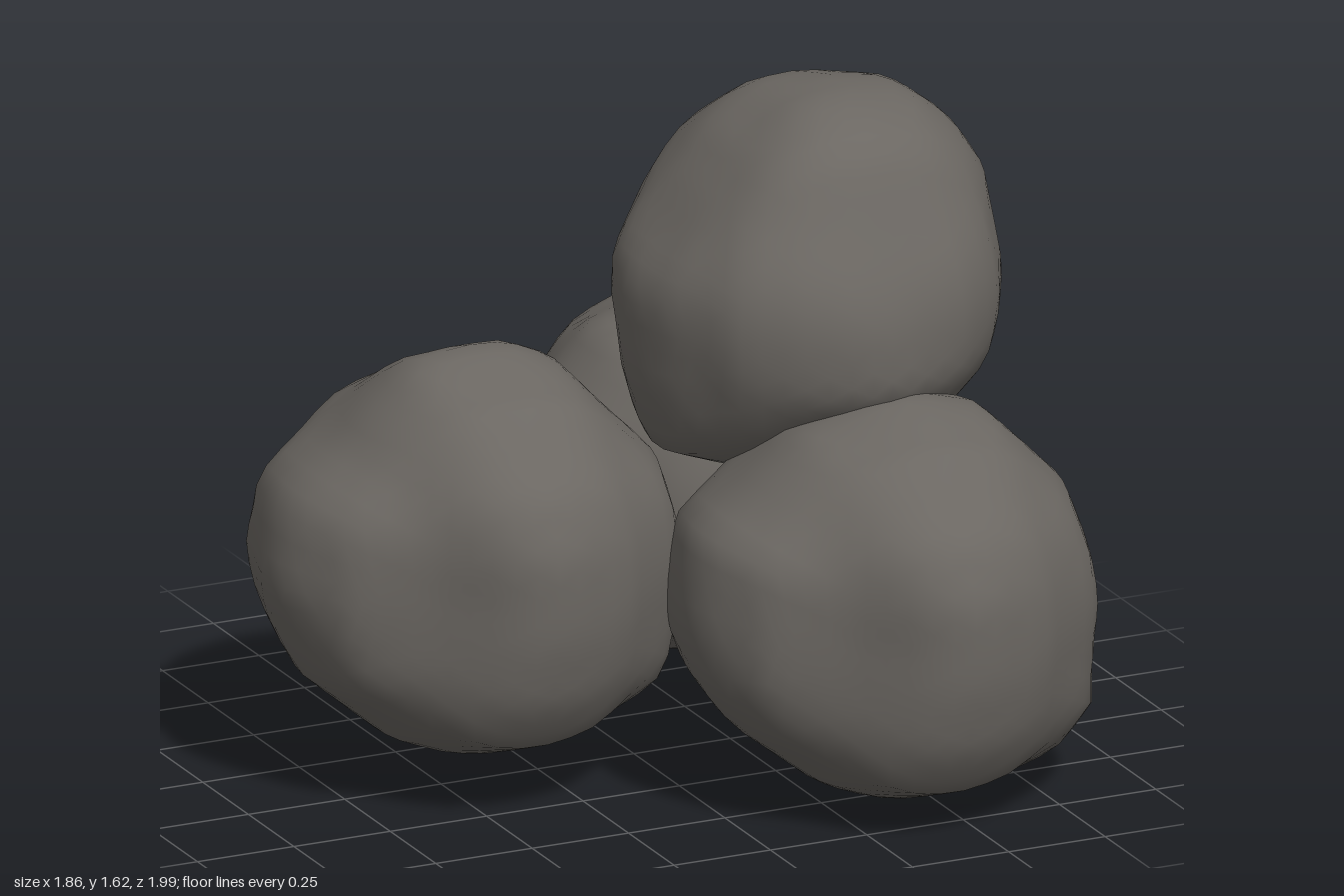
import * as THREE from 'three';
import { mergeVertices } from 'three/addons/utils/BufferGeometryUtils.js';

// Distance from the origin to a closed outline, along direction (du, dv)
function reach(outline, du, dv) {
  let best = 0;
  outline.forEach(([pu, pv], i) => {
    const [qu, qv] = outline[(i + 1) % outline.length];
    const eu = qu - pu, ev = qv - pv, den = du * ev - dv * eu;
    if (Math.abs(den) < 1e-9) return;
    const t = (pu * ev - pv * eu) / den, s = (pu * dv - pv * du) / den;
    if (t > best && s >= -1e-6 && s <= 1 + 1e-6) best = t;
  });
  return best;
}

// Outline moved so that the given centre becomes its origin
const around = (cu, cv, points) => points.map(([u, v]) => [u - cu, v - cv]);

// Boulder: a sphere whose radius blends three cross-sections (xy, zy, xz)
function boulderGeometry({ front, side, top }) {
  let geo = new THREE.IcosahedronGeometry(1, 9);
  geo.deleteAttribute('normal');
  geo.deleteAttribute('uv');
  geo = mergeVertices(geo, 1e-4);
  const pos = geo.attributes.position, d = new THREE.Vector3();
  for (let i = 0; i < pos.count; i++) {
    d.fromBufferAttribute(pos, i).normalize();
    let sum = 0, total = 0;
    for (const [outline, u, v, n] of [[front, d.x, d.y, d.z], [side, d.z, d.y, d.x], [top, d.x, d.z, d.y]]) {
      const len = Math.hypot(u, v);
      if (len < 1e-4) continue;
      const w = (len * len) / (n * n + 0.03);
      sum += w * reach(outline, u / len, v / len);
      total += w;
    }
    d.multiplyScalar(sum / total);
    pos.setXYZ(i, d.x, d.y, d.z);
  }
  geo.computeVertexNormals();
  return geo;
}

// Ridged boulder, used for the front and left stones
const ridged = {
  front: around(0.42, 0.5, [
    [0.47, 1.0], [0.65, 0.95], [0.84, 0.76], [0.93, 0.52], [0.92, 0.19], [0.8, 0.08], [0.65, 0.03], [0.47, 0.005],
    [0.37, 0.03], [0.22, 0.08], [0.03, 0.23], [-0.06, 0.36], [-0.1, 0.52], [-0.07, 0.72], [0.03, 0.78], [0.2, 0.93]]),
  side: around(0.5, 0.5, [
    [1.0, 0.62], [0.94, 0.76], [0.77, 0.93], [0.5, 1.0], [0.33, 0.92], [0.14, 0.84], [0.02, 0.69], [-0.02, 0.47],
    [0.0, 0.32], [0.17, 0.17], [0.25, 0.14], [0.45, 0.005], [0.61, 0.03], [0.87, 0.125], [0.95, 0.25], [0.99, 0.41]]),
  top: around(0.42, 0.5, [
    [0.44, 1.0], [0.63, 0.94], [0.84, 0.77], [0.93, 0.52], [0.9, 0.37], [0.82, 0.2], [0.71, 0.07], [0.56, 0.0],
    [0.3, -0.02], [0.15, 0.04], [-0.03, 0.22], [-0.09, 0.45], [-0.09, 0.55], [0.0, 0.72], [0.18, 0.83], [0.33, 0.96]]),
};

// Left stone: same body with a slightly turned front section
const turned = {
  ...ridged,
  front: around(-0.41, 0.57, [
    [-0.42, 1.09], [-0.32, 1.08], [-0.2, 1.02], [-0.09, 0.9], [0.03, 0.78], [0.09, 0.58], [0.08, 0.3], [0.03, 0.21],
    [-0.2, 0.1], [-0.36, 0.07], [-0.51, 0.1], [-0.64, 0.15], [-0.84, 0.32], [-0.935, 0.57], [-0.89, 0.77],
    [-0.74, 0.87], [-0.68, 0.94], [-0.56, 1.06]]),
};

// Rear stone
const rear = {
  front: around(0.42, 0.49, [
    [0.87, 0.55], [0.8, 0.78], [0.62, 0.92], [0.4, 0.95], [0.15, 0.88], [0.0, 0.7], [-0.04, 0.47], [0.02, 0.25],
    [0.15, 0.1], [0.4, 0.04], [0.65, 0.07], [0.8, 0.22]]),
  side: around(-0.51, 0.49, [
    [-0.42, 0.95], [-0.26, 0.92], [-0.1, 0.76], [-0.03, 0.6], [-0.02, 0.47], [-0.06, 0.32], [-0.2, 0.17], [-0.44, 0.1],
    [-0.61, 0.02], [-0.76, 0.035], [-0.9, 0.15], [-0.96, 0.3], [-1.0, 0.41], [-0.98, 0.62], [-0.93, 0.76],
    [-0.84, 0.84], [-0.61, 0.91]]),
  top: around(0.42, -0.51, [
    [0.35, -0.99], [0.46, -1.0], [0.59, -1.0], [0.73, -0.93], [0.835, -0.81], [0.87, -0.65], [0.83, -0.4],
    [0.77, -0.23], [0.62, -0.08], [0.42, -0.02], [0.18, -0.1], [-0.02, -0.32], [-0.045, -0.42], [-0.035, -0.57],
    [0.03, -0.66], [0.09, -0.8], [0.2, -0.91]]),
};

// Stone resting on top
const upper = {
  front: around(0.42, 1.16, [
    [0.48, 1.64], [0.655, 1.61], [0.77, 1.52], [0.84, 1.42], [0.865, 1.26], [0.845, 1.09], [0.795, 0.94], [0.72, 0.85],
    [0.45, 0.69], [0.22, 0.72], [0.02, 0.79], [-0.035, 0.965], [-0.04, 1.14], [-0.02, 1.23], [0.04, 1.3],
    [0.12, 1.42], [0.21, 1.52], [0.35, 1.61]]),
  side: around(0.06, 1.16, [
    [0.16, 1.64], [-0.11, 1.61], [-0.31, 1.48], [-0.4, 1.33], [-0.4, 1.19], [-0.33, 1.07], [-0.285, 0.92],
    [-0.18, 0.78], [0.0, 0.69], [0.17, 0.72], [0.37, 0.82], [0.54, 1.0], [0.54, 1.14], [0.49, 1.28], [0.37, 1.54],
    [0.3, 1.6]]),
  top: around(0.42, 0.06, [
    [0.33, -0.42], [0.52, -0.38], [0.68, -0.29], [0.8, -0.16], [0.865, 0.08], [0.84, 0.25], [0.76, 0.4], [0.64, 0.49],
    [0.44, 0.53], [0.33, 0.54], [0.19, 0.49], [0.07, 0.4], [-0.02, 0.21], [-0.045, 0.05], [0.0, -0.13],
    [0.11, -0.27]]),
};

export function createModel() {
  const group = new THREE.Group();
  group.name = 'boulderPile';
  const stone = new THREE.MeshStandardMaterial({ color: 0x6b6762 });
  stone.name = 'warm grey stone';

  const addBoulder = (name, sections, x, y, z) => {
    const mesh = new THREE.Mesh(boulderGeometry(sections), stone);
    mesh.name = name;
    mesh.position.set(x, y, z);
    group.add(mesh);
  };
  addBoulder('frontBoulder', ridged, 0.42, 0.5, 0.5);
  addBoulder('sideBoulder', turned, -0.41, 0.57, -0.03);
  addBoulder('rearBoulder', rear, 0.42, 0.49, -0.51);
  addBoulder('topBoulder', upper, 0.42, 1.16, 0.06);
  return group;
}
